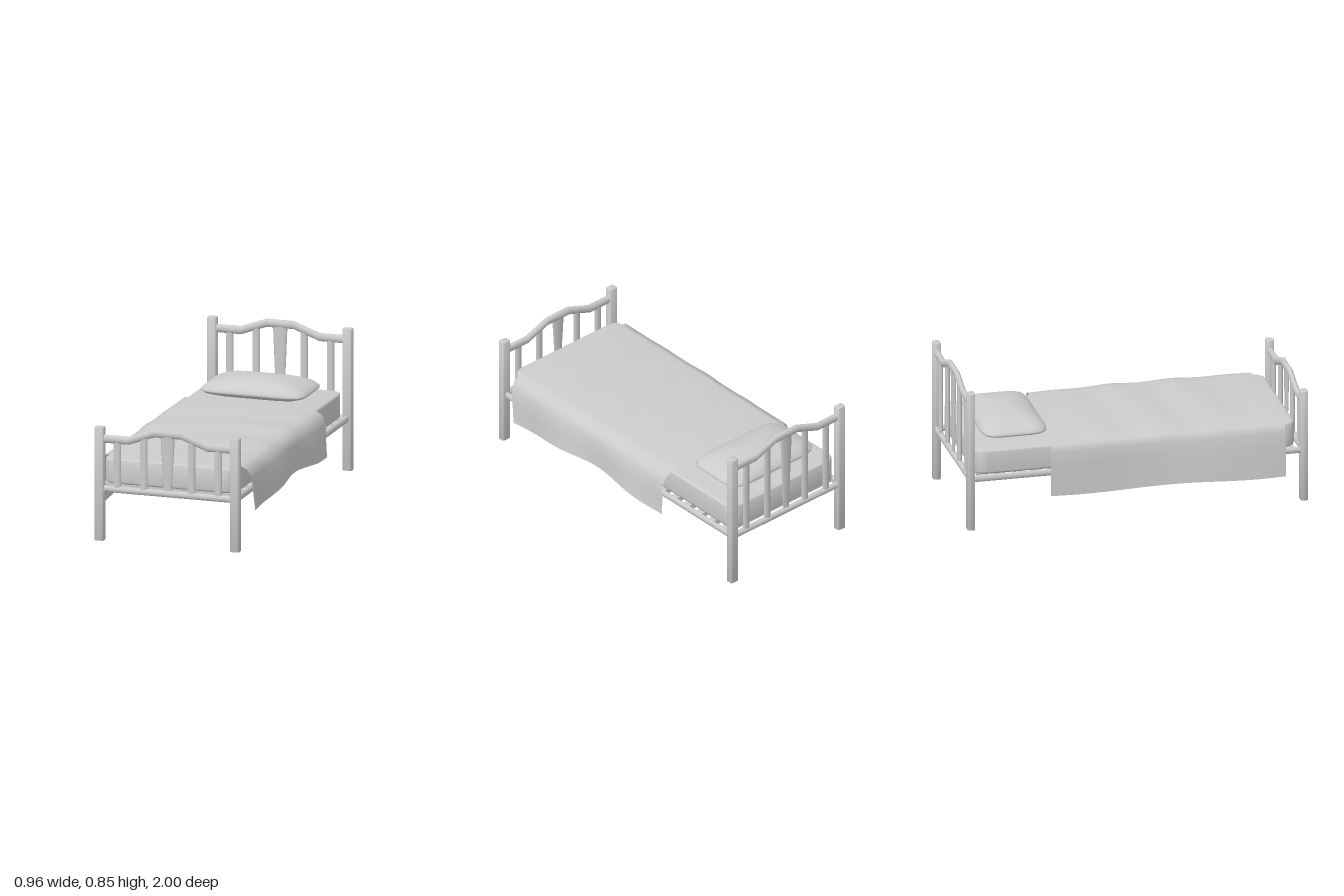
import * as THREE from 'three';
import { mergeVertices, toCreasedNormals } from 'three/addons/utils/BufferGeometryUtils.js';

const CX = -0.0185;        // centre line of the frame
const POST_X = 0.409;      // posts either side of the centre line
const END_Z = 0.978;       // head and foot boards
const material = new THREE.MeshStandardMaterial({ color: 0xcccccc });
const clothMaterial = new THREE.MeshStandardMaterial({ color: 0xcccccc, side: THREE.DoubleSide });

function add(parent, name, geometry, x = 0, y = 0, z = 0, mat = material) {
  const mesh = new THREE.Mesh(geometry, mat);
  mesh.name = name;
  mesh.position.set(x, y, z);
  parent.add(mesh);
  return mesh;
}

// Upright block, base at y = 0, with rounded corners and bevelled top and bottom
function roundedBlock(w, h, d, radius, bevel, steps) {
  const x = w / 2 - bevel, z = d / 2 - bevel, r = radius;
  const s = new THREE.Shape();
  s.moveTo(-x + r, -z);
  s.lineTo(x - r, -z).quadraticCurveTo(x, -z, x, -z + r);
  s.lineTo(x, z - r).quadraticCurveTo(x, z, x - r, z);
  s.lineTo(-x + r, z).quadraticCurveTo(-x, z, -x, z - r);
  s.lineTo(-x, -z + r).quadraticCurveTo(-x, -z, -x + r, -z);
  const g = new THREE.ExtrudeGeometry(s, {
    depth: h - 2 * bevel, bevelThickness: bevel, bevelSize: bevel,
    bevelSegments: steps, curveSegments: steps + 1,
  });
  g.rotateX(-Math.PI / 2).translate(0, bevel, 0);
  return toCreasedNormals(g, 0.9);
}

// Oval bar along x
function ovalBar(length, h, d, segments = 1) {
  return new THREE.CylinderGeometry(0.5, 0.5, length, 12, segments)
    .rotateZ(-Math.PI / 2).scale(1, h, d);
}

// Rail that steps up in the middle
function archedRail(rise) {
  const xs = [-POST_X, -0.237, -0.082, 0.082, 0.237, POST_X];
  const ys = [0, 0, rise, rise, 0, 0];
  const g = new THREE.CylinderGeometry(0.5, 0.5, 5, 12, 5, true)
    .rotateZ(-Math.PI / 2).scale(1, 0.049, 0.034);
  const p = g.attributes.position;
  for (let i = 0; i < p.count; i++) {
    const k = Math.round(p.getX(i) + 2.5);
    p.setXY(i, xs[k], p.getY(i) + ys[k]);
  }
  g.deleteAttribute('normal');
  g.deleteAttribute('uv');
  const merged = mergeVertices(g);
  merged.computeVertexNormals();
  return merged;
}

// Head or foot board: posts, rails and spindles
function endBoard(name, postTop, railY, z) {
  const board = new THREE.Group();
  board.name = name;
  board.position.set(CX, 0, z);
  const post = roundedBlock(0.055, postTop, 0.044, 0.008, 0.003, 2);
  for (const side of [-1, 1]) add(board, 'post', post, side * POST_X);
  add(board, 'archedRail', archedRail(0.057), 0, railY);
  add(board, 'lowerRail', ovalBar(2 * POST_X, 0.04, 0.034), 0, 0.305);
  const bottom = 0.315;
  for (const x of [-0.304, -0.144, 0.144, 0.304]) {
    const top = railY + (Math.abs(x) < 0.2 ? 0.034 : 0);
    const g = new THREE.CylinderGeometry(0.5, 0.5, top - bottom, 12).scale(0.046, 1, 0.026);
    add(board, 'spindle', g, x, (top + bottom) / 2);
  }
  const top = railY + 0.05;
  const splat = new THREE.CylinderGeometry(0.5, 0.25, top - bottom, 12).scale(0.088, 1, 0.026);
  add(board, 'taperedSpindle', splat, 0, (top + bottom) / 2);
  return board;
}

// Pillow: sphere pushed into a pinched, rounded rectangle
function pillowGeometry() {
  const g = new THREE.SphereGeometry(1, 40, 24);
  const p = g.attributes.position;
  for (let i = 0; i < p.count; i++) {
    const x = p.getX(i), y = p.getY(i), z = p.getZ(i);
    const r = Math.hypot(x, z);
    const n = Math.pow(x ** 6 + z ** 6, 1 / 6);
    const s = n > 1e-6 ? r / n : 1;
    const px = x * s, pz = z * s;
    const puff = Math.pow(Math.abs(y), 1.15);
    p.setXYZ(i, px * 0.318, y > 0 ? puff * 0.077 : -puff * 0.05,
      pz * 0.19 * (1 + 0.05 * px * px));
  }
  const merged = (g.deleteAttribute('normal'), g.deleteAttribute('uv'), mergeVertices(g));
  merged.computeVertexNormals();
  return merged;
}

// Blanket: one cross-section swept along z with wavy hems and gentle folds
function blanketGeometry() {
  const section = [
    [-0.473, 0.175], [-0.467, 0.26], [-0.46, 0.35], [-0.452, 0.43], [-0.436, 0.474],
    [-0.39, 0.489], [-0.25, 0.496], [-0.1, 0.5], [0.05, 0.5], [0.2, 0.497],
    [0.33, 0.492], [0.385, 0.482], [0.42, 0.458], [0.447, 0.41], [0.452, 0.32], [0.461, 0.235],
  ];
  const rows = 40, cols = section.length, pos = [], index = [];
  for (let j = 0; j <= rows; j++) {
    const t = j / rows;
    for (let i = 0; i < cols; i++) {
      let [x, y] = section[i];
      const drop = THREE.MathUtils.clamp((0.47 - y) / 0.26, 0, 1);
      const across = THREE.MathUtils.clamp((x + 0.455) / 0.9, 0, 1);
      const back = -0.515 + 0.075 * across;
      const front = 0.865 - (x > 0 ? 0.045 * drop : 0);
      const z = back + (front - back) * t;
      if (drop > 0) {
        // hanging sides
        const wave = x > 0 ? Math.sin(z * 10.5 - 2.7) : -Math.sin(z * 4.5 - 0.6);
        x += wave * 0.013 * drop;
        y += (x > 0 ? 0.028 * Math.cos((z - 0.15) * 4.5) : 0.009 * Math.cos(z * 6 - 1.5)) * drop;
      } else {
        // top surface
        y += 0.012 * Math.sin(Math.PI * t) * (0.6 + 0.4 * Math.sin(z * 17 + x * 3)) - 0.007;
        y = Math.max(y, Math.abs(x) < 0.38 ? 0.479 : 0.472);
      }
      pos.push(x, y, z);
      if (j < rows && i < cols - 1) {
        const a = j * cols + i, b = a + cols;
        index.push(a, b, a + 1, a + 1, b, b + 1);
      }
    }
  }
  const g = new THREE.BufferGeometry();
  g.setAttribute('position', new THREE.Float32BufferAttribute(pos, 3));
  g.setIndex(index);
  g.computeVertexNormals();
  return g;
}

export function createModel() {
  const bed = new THREE.Group();
  bed.name = 'bed';

  bed.add(endBoard('headboard', 0.835, 0.769, -END_Z));
  bed.add(endBoard('footboard', 0.668, 0.599, END_Z));

  // Side rails
  const sideRail = ovalBar(2 * END_Z, 0.04, 0.027).rotateY(Math.PI / 2);
  for (const side of [-1, 1]) add(bed, 'sideRail', sideRail, CX + side * POST_X, 0.305);

  // Slats under the mattress
  const slats = new THREE.Group();
  slats.name = 'slats';
  bed.add(slats);
  const slat = new THREE.BoxGeometry(2 * POST_X, 0.03, 0.048);
  const count = 18;
  for (let i = 0; i < count; i++) {
    add(slats, 'slat', slat, CX, 0.309, -0.9 + (1.8 * i) / (count - 1));
  }

  // Bedding
  add(bed, 'mattress', roundedBlock(0.8, 0.147, 1.885, 0.06, 0.015, 4), -0.027, 0.324, -0.0075);
  add(bed, 'pillow', pillowGeometry(), -0.036, 0.521, -0.685);
  add(bed, 'blanket', blanketGeometry(), 0, 0, 0, clothMaterial);
  return bed;
}
